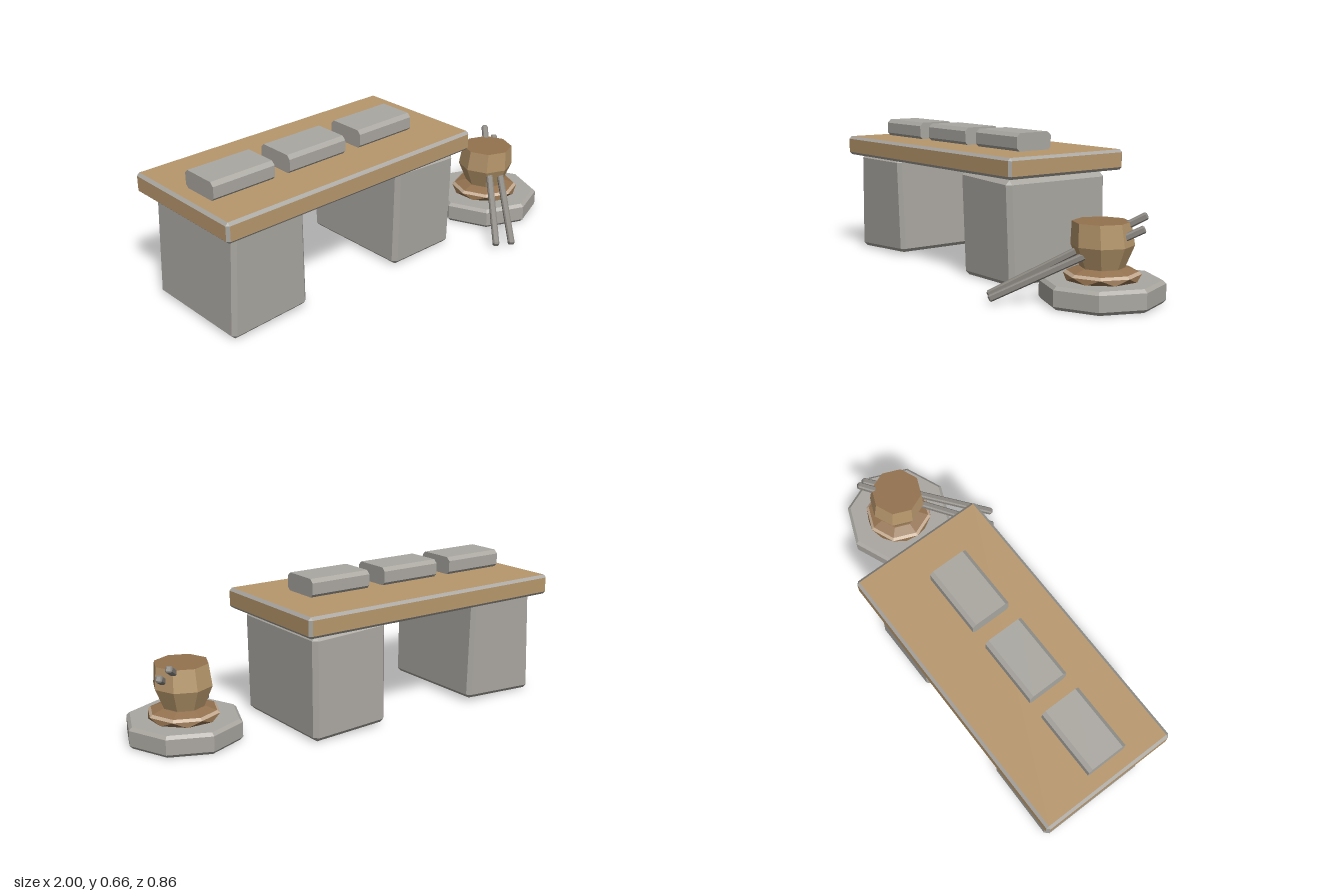
import * as THREE from 'three';
import { ConvexGeometry } from 'three/addons/geometries/ConvexGeometry.js';

const mat = (name, color) => Object.assign(new THREE.MeshStandardMaterial({ color }), { name });
const V = (x, y, z) => new THREE.Vector3(x, y, z);

// Solid with every edge cut: each corner becomes three points; place(u, v, w) maps -1..1 to space
function cutCorners(corner, cut) {
  const points = [];
  for (const i of [-1, 1]) for (const j of [-1, 1]) for (const k of [-1, 1]) {
    const p = corner(i, j, k), c = cut;
    points.push(
      V(p.x, p.y - j * c, p.z - k * c),
      V(p.x - i * c, p.y, p.z - k * c),
      V(p.x - i * c, p.y - j * c, p.z));
  }
  return new ConvexGeometry(points);
}

const cutBox = (w, h, d, cut) => cutCorners((i, j, k) => V(i * w / 2, j * h / 2, k * d / 2), cut);

// Solid through eight-sided rings: [radius, y, turn, cx, cz]
function rings(list) {
  const points = [];
  for (const [r, y, turn = 0, cx = 0, cz = 0] of list)
    for (let i = 0; i < 8; i++) {
      const a = i * Math.PI / 4 + turn;
      points.push(V(cx + Math.sin(a) * r, y, cz + Math.cos(a) * r));
    }
  return new ConvexGeometry(points);
}

// Gives triangles whose normal passes the test material 1, the rest material 0
function splitByNormal(geo, test) {
  const n = geo.attributes.normal;
  for (let i = 0; i < n.count; i += 3)
    geo.addGroup(i, 3, test(n.getX(i), n.getY(i), n.getZ(i)) ? 1 : 0);
  return geo;
}

export function createModel() {
  const stone = mat('stone grey', 0xaaa7a1);
  const wood = mat('light wood', 0xb7976c);
  const darkWood = mat('dark wood', 0x93724f);
  const trim = mat('pale trim', 0xc4ab92);
  const metal = mat('stick grey', 0x8a8680);

  const model = new THREE.Group();
  const add = (name, geo, material, x = 0, y = 0, z = 0, parent = model) => {
    const mesh = new THREE.Mesh(geo, material);
    mesh.name = name;
    mesh.position.set(x, y, z);
    parent.add(mesh);
    return mesh;
  };

  // Table top: wooden faces, grey bevels
  const top = splitByNormal(cutBox(1.38, 0.094, 0.66, 0.013),
    (x, y, z) => Math.max(Math.abs(x), Math.abs(y), Math.abs(z)) > 0.99);
  add('tableTop', top, [stone, wood], -0.31, 0.531, -0.1);

  // Rough, slightly crooked stone legs
  const leftLeg = cutCorners((i, j, k) => V(
    j < 0 ? (i < 0 ? -0.965 : -0.568) : (i < 0 ? -0.945 : -0.578),
    j < 0 ? (i < 0 ? 0 : 0.018) : 0.487,
    k < 0 ? -0.375 : (j < 0 ? 0.175 : 0.185)), 0.018);
  add('rightStoneLeg', leftLeg, stone);
  const rightLeg = cutCorners((i, j, k) => V(
    i < 0 ? (k < 0 ? -0.065 : -0.045) : 0.32,
    j < 0 ? (i < 0 && k < 0 ? 0.015 : 0) : (i > 0 ? 0.472 : 0.487),
    k < 0 ? (j < 0 ? -0.382 : -0.375) : (j < 0 ? 0.172 : 0.19)), 0.02);
  add('leftStoneLeg', rightLeg, stone);

  // Three bars on the table, bevelled along their length
  const section = [];
  for (const x of [-0.156, 0.156]) for (const j of [-1, 1]) for (const k of [-1, 1])
    section.push(V(x, j * 0.043, k * 0.08), V(x, j * 0.026, k * 0.0975));
  const bar = new ConvexGeometry(section);
  [-0.767, -0.375, 0.025].forEach((x, i) => add('bar' + (i + 1), bar, stone, x, 0.618, -0.0625));

  // Round stone base beside the table
  const pot = new THREE.Group();
  pot.name = 'potOnBase';
  pot.position.set(0.737, 0, 0.022);
  model.add(pot);
  add('stoneBase', rings([[0.248, 0], [0.263, 0.015], [0.263, 0.083], [0.248, 0.097]]),
    stone, 0, 0, 0, pot);

  // Flared foot with a pale rim
  const half = Math.PI / 8;
  add('potFoot', rings([[0.155, 0.095, half], [0.163, 0.12]]), darkWood, 0, 0, 0, pot);
  add('footRim', rings([[0.163, 0.12], [0.15, 0.131]]), trim, 0, 0, 0, pot);
  add('footShoulder', rings([[0.15, 0.131], [0.1, 0.147]]), darkWood, 0, 0, 0, pot);

  // Faceted pot with a dark top
  const body = splitByNormal(
    rings([[0.092, 0.143], [0.133, 0.24], [0.122, 0.338, 0, 0, 0.008]]),
    (x, y) => y > 0.99);
  add('potBody', body, [wood, darkWood], 0, 0, 0, pot);

  // Two sticks driven through the pot
  const sticks = [
    [V(0.432, 0.025, 0.377), V(0.862, 0.362, -0.1)],
    [V(0.495, 0.025, 0.418), V(0.89, 0.314, -0.06)],
  ];
  sticks.forEach(([a, b], i) => {
    const mid = a.clone().add(b).multiplyScalar(0.5);
    const stick = add('stick' + (i + 1), cutBox(0.03, 0.03, a.distanceTo(b) + 0.015, 0.006),
      metal, mid.x, mid.y, mid.z);
    stick.lookAt(b);
  });

  return model;
}
